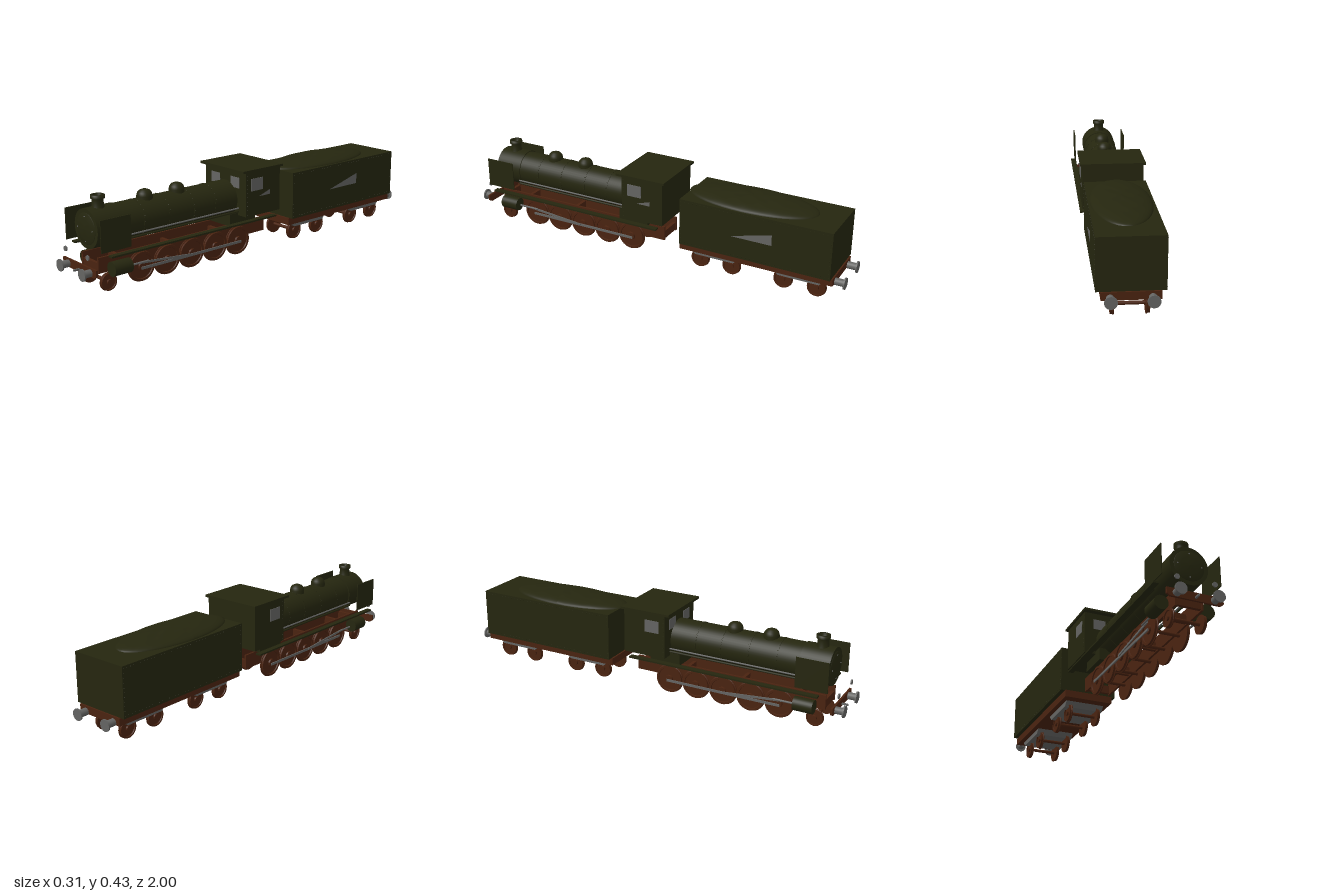
import * as THREE from 'three';
import { mergeGeometries } from 'three/addons/utils/BufferGeometryUtils.js';

const mat = (name, color, side = THREE.FrontSide) => {
  const m = new THREE.MeshStandardMaterial({ color, side });
  m.name = name;
  return m;
};

export function createModel() {
  const green = mat('dark olive green', 0x25260f);
  const brown = mat('rust brown', 0x4a2310);
  const grey = mat('grey steel', 0x646462, THREE.DoubleSide);
  const root = new THREE.Group();
  root.name = 'steamLocomotive';

  const add = (parent, name, geo, material, x = 0, y = 0, z = 0) => {
    const m = new THREE.Mesh(geo, material);
    m.name = name;
    m.position.set(x, y, z);
    parent.add(m);
    return m;
  };
  const group = (name) => {
    const g = new THREE.Group();
    g.name = name;
    root.add(g);
    return g;
  };
  // box given by its limits
  const box = (parent, name, material, x0, x1, y0, y1, z0, z1) =>
    add(parent, name, new THREE.BoxGeometry(x1 - x0, y1 - y0, z1 - z0), material,
      (x0 + x1) / 2, (y0 + y1) / 2, (z0 + z1) / 2);
  // cylinder lying along z
  const cylZ = (parent, name, material, r, x, y, z0, z1, seg = 32) =>
    add(parent, name, new THREE.CylinderGeometry(r, r, Math.abs(z1 - z0), seg).rotateX(Math.PI / 2),
      material, x, y, (z0 + z1) / 2);
  // flat plate in the side plane, points as [z, y]
  const sidePlate = (parent, name, material, x, pts) => {
    const s = new THREE.Shape(pts.map(([z, y]) => new THREE.Vector2(-z, y)));
    add(parent, name, new THREE.ShapeGeometry(s).rotateY(Math.PI / 2), material, x);
  };
  const lathe = (pts, seg = 32) => new THREE.LatheGeometry(pts.map((p) => new THREE.Vector2(...p)), seg);

  const engine = group('engine'), tender = group('tender');

  // wheel: flanged disc with raised rim and hub, outer face towards +x
  const wheelGeo = (r) => lathe([
    [0.004, -0.008], [r, -0.008], [r, -0.004], [r * 0.94, -0.002], [r * 0.94, 0.007], [r * 0.8, 0.007],
    [r * 0.78, 0.002], [r * 0.28, 0.002], [r * 0.26, 0.01], [0, 0.01],
  ], 36).toNonIndexed().rotateZ(-Math.PI / 2);
  const wheelSet = (parent, name, r, z) => {
    const geo = wheelGeo(r);
    geo.computeVertexNormals();
    for (const s of [1, -1]) {
      const w = add(parent, name, geo, brown, s * 0.075, r, z);
      if (s < 0) w.rotation.y = Math.PI;
    }
    add(parent, name + 'Axle', new THREE.CylinderGeometry(0.008, 0.008, 0.15, 12).rotateZ(Math.PI / 2),
      brown, 0, r, z);
  };

  // boiler and smokebox
  const BY = 0.276;
  cylZ(engine, 'boiler', green, 0.086, 0, BY, 0.1, 0.78, 48);
  cylZ(engine, 'smokebox', green, 0.09, 0, BY, 0.77, 0.912, 48);
  add(engine, 'smokeboxDoor', lathe([[0.072, 0], [0.07, 0.004], [0.04, 0.009], [0, 0.011]], 40)
    .rotateX(Math.PI / 2), green, 0, BY, 0.911);
  for (let i = 0; i < 4; i++) {
    const a = i * Math.PI / 2;
    cylZ(engine, 'doorBolt', grey, 0.003, 0.056 * Math.cos(a), BY + 0.056 * Math.sin(a), 0.912, 0.92, 8);
  }
  for (const z of [0.25, 0.38, 0.52, 0.66])
    cylZ(engine, 'boilerBand', green, 0.0875, 0, BY, z - 0.005, z + 0.005, 48);
  add(engine, 'chimney', lathe([[0.036, 0.345], [0.027, 0.37], [0.025, 0.398], [0.032, 0.402], [0.032, 0.417],
    [0.02, 0.418], [0.02, 0.38], [0, 0.38]]), green, 0, 0, 0.848);
  for (const z of [0.6, 0.418])
    add(engine, 'steamDome', lathe([[0.038, 0.335], [0.037, 0.37], [0.033, 0.384], [0.024, 0.394],
      [0.012, 0.399], [0, 0.4]]), green, 0, 0, z);
  box(engine, 'firebox', green, -0.09, 0.09, 0.155, 0.215, 0.01, 0.17);

  // cab
  box(engine, 'cab', green, -0.147, 0.147, 0.203, 0.421, -0.1, 0.12);
  box(engine, 'cabRoof', green, -0.157, 0.157, 0.42, 0.431, -0.113, 0.146);
  for (const s of [1, -1]) {
    box(engine, 'frontWindow', grey, s * 0.07 - 0.031, s * 0.07 + 0.031, 0.336, 0.388, 0.119, 0.122);
    box(engine, 'sideWindow', grey, s * 0.148 - 0.0015, s * 0.148 + 0.0015, 0.325, 0.385, 0.013, 0.088);
  }
  sidePlate(engine, 'cabSidePlate', grey, 0.1485, [[0.04, 0.293], [-0.035, 0.293], [-0.035, 0.317]]);

  // chassis, running gear and side fittings
  for (const s of [1, -1]) {
    const b = (name, m, xa, xb, ...r) => box(engine, name, m, Math.min(s * xa, s * xb), Math.max(s * xa, s * xb), ...r);
    b('framePlate', brown, 0.056, 0.066, 0.085, 0.156, -0.07, 0.9);
    b('runningBoard', green, 0.13, 0.157, 0.175, 0.183, -0.07, 0.89);
    b('smokeDeflector', green, 0.135, 0.139, 0.2, 0.345, 0.775, 0.93);
    cylZ(engine, 'steamCylinder', green, 0.033, s * 0.108, 0.108, 0.768, 0.862);
    cylZ(engine, 'boilerPipe', grey, 0.004, s * 0.094, 0.238, 0.12, 0.77, 10);
    cylZ(engine, 'lowerPipe', green, 0.005, s * 0.092, 0.222, 0.12, 0.77, 10);
    b('couplingRod', grey, 0.086, 0.091, 0.061, 0.073, 0.1, 0.69);
    const rod = b('connectingRod', grey, 0.092, 0.097, 0.079, 0.089, 0.4, 0.7);
    rod.rotation.x = -0.09;
    cylZ(engine, 'pistonRod', grey, 0.005, s * 0.1, 0.1, 0.66, 0.78, 10);
    cylZ(engine, 'lamp', grey, 0.012, s * 0.087, 0.178, 0.963, 0.969, 24);
  }
  for (const z of [-0.06, 0.18, 0.47, 0.76, 0.89])
    box(engine, 'frameStretcher', brown, -0.06, 0.06, 0.09, 0.13, z - 0.008, z + 0.008);
  for (let i = 0; i < 5; i++) wheelSet(engine, 'drivingWheel', 0.072, 0.68 - i * 0.1425);
  wheelSet(engine, 'leadingWheel', 0.042, 0.857);

  // front buffer beam with clipped lower corners
  const beam = new THREE.Shape([[-0.13, 0.128], [-0.13, 0.1], [-0.115, 0.09], [0.115, 0.09], [0.13, 0.1], [0.13, 0.128]]
    .map((p) => new THREE.Vector2(...p)));
  add(engine, 'bufferBeam', new THREE.ExtrudeGeometry(beam, { depth: 0.01, bevelEnabled: false }), brown, 0, 0, 0.945);
  box(engine, 'couplingHook', grey, -0.004, 0.004, 0.099, 0.107, 0.95, 0.985);
  for (const [parent, d] of [[engine, 1], [tender, -1]])
    for (const s of [1, -1]) {
      cylZ(parent, 'bufferStem', grey, 0.017, s * 0.087, 0.108, d * 0.948, d * 0.994, 24);
      cylZ(parent, 'bufferHead', grey, 0.0275, s * 0.087, 0.108, d * 0.993, d, 32);
    }

  // tender body, underframe and coal heap
  box(tender, 'tenderBody', green, -0.146, 0.146, 0.134, 0.368, -0.943, -0.193);
  box(tender, 'tenderFrame', brown, -0.125, 0.125, 0.098, 0.134, -0.95, -0.185);
  const coal = new THREE.SphereGeometry(1, 40, 14, 0, Math.PI * 2, 0, Math.PI / 2);
  const p = coal.attributes.position;
  for (let i = 0; i < p.count; i++) {
    const x = p.getX(i), z = p.getZ(i);
    p.setY(i, p.getY(i) * (0.95 + 0.05 * Math.sin(x * 11) * Math.cos(z * 17)));
  }
  coal.scale(0.138, 0.035, 0.322);
  coal.computeVertexNormals();
  add(tender, 'coalHeap', coal, green, 0, 0.367, -0.503);
  sidePlate(tender, 'tenderSidePlate', grey, 0.1475, [[-0.455, 0.24], [-0.66, 0.24], [-0.66, 0.294]]);

  // bogies: tapered frames with two wheelsets each
  for (const z of [-0.355, -0.78]) {
    const s = new THREE.Shape([[-0.125, 0.1], [-0.1, 0.073], [0.1, 0.073], [0.125, 0.1]]
      .map((q) => new THREE.Vector2(...q)));
    add(tender, 'bogieFrame', new THREE.ExtrudeGeometry(s, { depth: 0.2, bevelEnabled: false })
      .translate(0, 0, -0.1).rotateY(Math.PI / 2), grey, 0, 0, z);
    for (const d of [0.082, -0.082]) wheelSet(tender, 'tenderWheel', 0.047, z + d);
  }

  // rivet rows on tender, cab and boiler
  const rivets = [];
  const rivet = (x, y, z) => rivets.push(new THREE.OctahedronGeometry(0.0022).translate(x, y, z));
  for (const s of [1, -1]) {
    for (let i = 0; i < 38; i++) {
      rivet(s * 0.146, 0.357, -0.2 - i * 0.0199);
      rivet(s * 0.146, 0.146, -0.2 - i * 0.0199);
    }
    for (let i = 1; i < 10; i++) for (const z of [-0.2, -0.936]) rivet(s * 0.146, 0.146 + i * 0.021, z);
    for (let i = 0; i < 10; i++) rivet(s * 0.147, 0.213 + i * 0.021, 0.112);
  }
  for (const z of [0.25, 0.38, 0.52, 0.66])
    for (let i = 0; i < 20; i++) {
      const a = i * Math.PI / 10;
      rivet(0.0875 * Math.cos(a), BY + 0.0875 * Math.sin(a), z);
    }
  add(root, 'rivets', mergeGeometries(rivets), green);
  return root;
}
